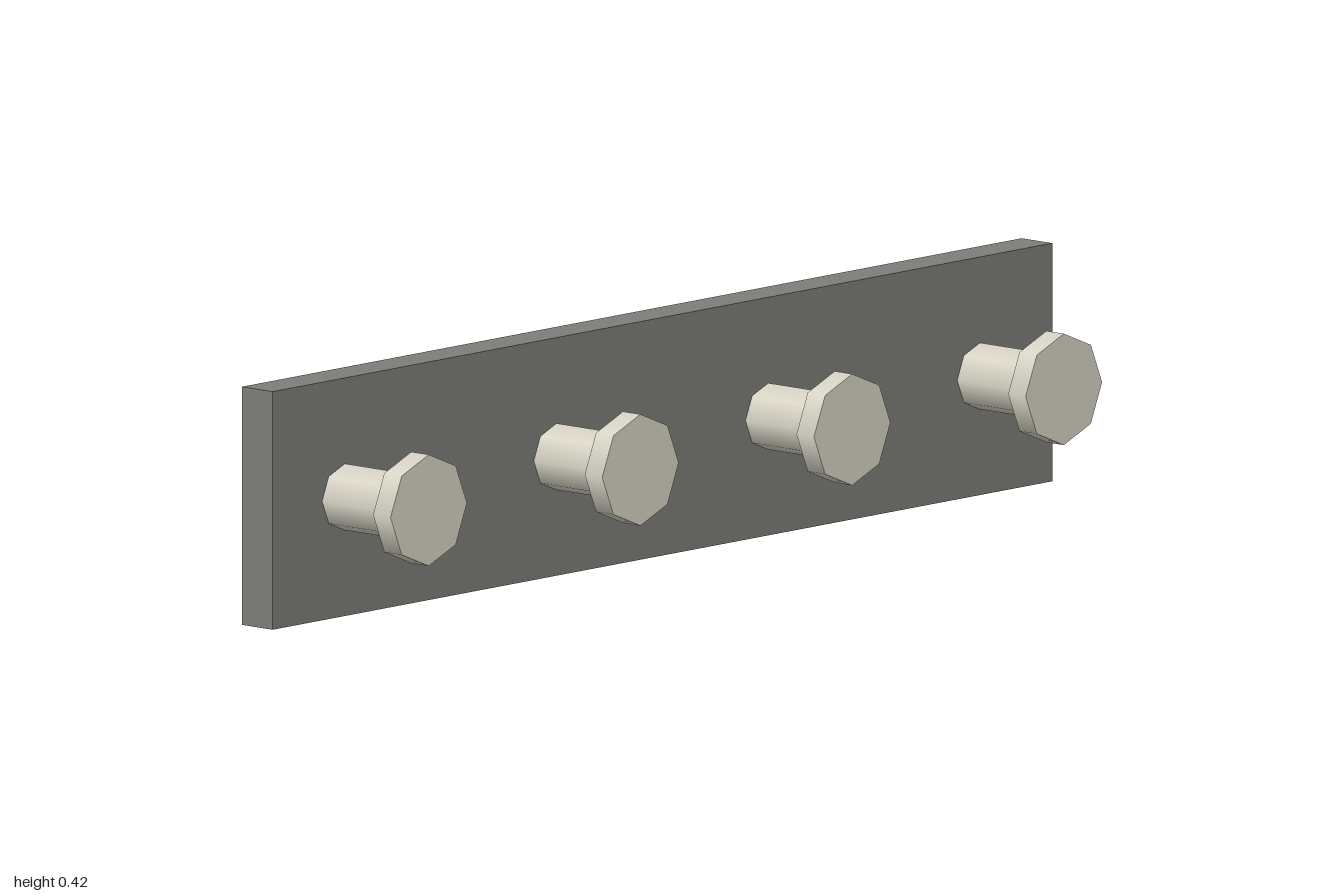
import * as THREE from 'three';

export function createModel() {
  const group = new THREE.Group();
  const plateGrey = new THREE.MeshStandardMaterial({ color: 0x7d7d79 });
  plateGrey.name = 'plateGrey';
  const pegIvory = new THREE.MeshStandardMaterial({ color: 0xd8d4c6 });
  pegIvory.name = 'pegIvory';

  const add = (parent, name, geometry, material, z) => {
    const mesh = new THREE.Mesh(geometry, material);
    mesh.name = name;
    mesh.position.z = z;
    parent.add(mesh);
    return mesh;
  };

  // Wall plate
  add(group, 'plate', new THREE.BoxGeometry(2, 0.419, 0.072), plateGrey, -0.098).position.y = 0.2095;

  // Eight-sided pegs, smooth around the sides, pointing forward
  const shaft = new THREE.CylinderGeometry(0.0585, 0.0585, 0.157, 8).rotateX(Math.PI / 2);
  const head = new THREE.CylinderGeometry(0.098, 0.098, 0.041, 8).rotateX(Math.PI / 2);
  for (let i = 0; i < 4; i++) {
    const peg = new THREE.Group();
    peg.name = `peg${i + 1}`;
    peg.position.set((i - 1.5) * 0.543, 0.2095, 0);
    add(peg, 'pegShaft', shaft, pegIvory, 0.0155);
    add(peg, 'pegHead', head, pegIvory, 0.1145);
    group.add(peg);
  }
  return group;
}
